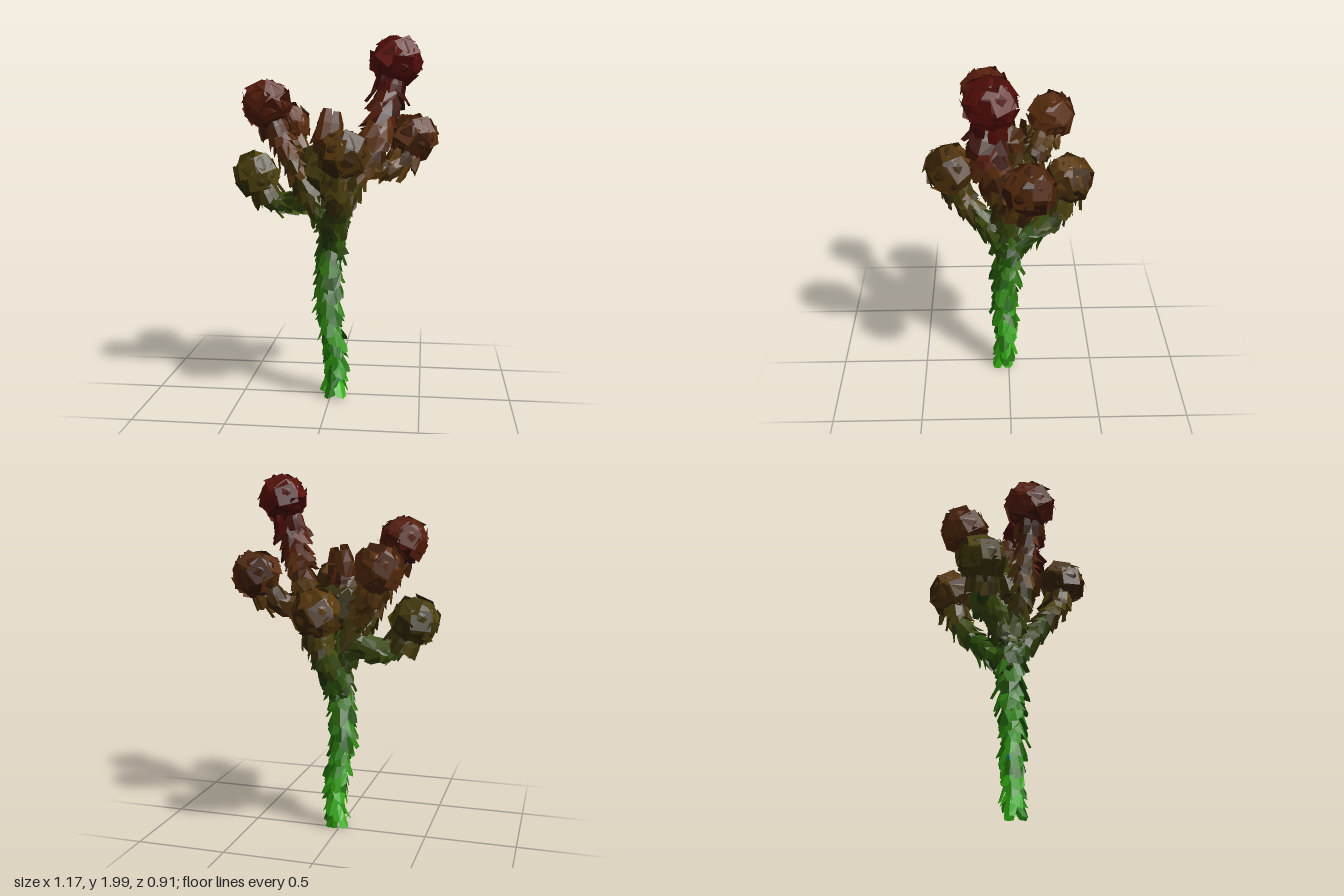
import * as THREE from 'three';
import { mergeGeometries } from 'three/addons/utils/BufferGeometryUtils.js';

const V = (x, y, z) => new THREE.Vector3(x, y, z);

// Small seeded random
let seed = 7;
const rand = (a = 0, b = 1) => {
  seed = (seed * 16807) % 2147483647;
  return a + (b - a) * (seed / 2147483647);
};

// Colour runs from bright green at the foot to dark red at the top
const stops = [
  [0, 0x30a80e], [0.5, 0x2c860e], [0.9, 0x30560c], [1.1, 0x3a420a],
  [1.3, 0x553a0d], [1.5, 0x562a0c], [1.7, 0x501409], [1.9, 0x600707],
];
function colourAt(y, tone) {
  let i = 0;
  while (i < stops.length - 2 && y > stops[i + 1][0]) i++;
  const [y0, c0] = stops[i], [y1, c1] = stops[i + 1];
  const t = THREE.MathUtils.clamp((y - y0) / (y1 - y0), 0, 1);
  return new THREE.Color(c0).lerp(new THREE.Color(c1), t).multiplyScalar(tone);
}

// Merges pieces that share a height band and tone into single meshes
function bandedGroup(name, pieces) {
  const group = new THREE.Group();
  group.name = name;
  const bands = new Map();
  for (const { geometry, y } of pieces) {
    const key = Math.round(y / 0.15) * 10 + Math.floor(rand(0, 3));
    if (!bands.has(key)) bands.set(key, []);
    bands.get(key).push(geometry);
  }
  for (const [key, list] of bands) {
    const color = colourAt(Math.floor(key / 10) * 0.15, [0.5, 0.8, 1.15][key % 10]);
    const mesh = new THREE.Mesh(mergeGeometries(list),
      new THREE.MeshStandardMaterial({ color, flatShading: true, side: THREE.DoubleSide }));
    mesh.name = name + 'Plates';
    group.add(mesh);
  }
  return group;
}

// Shingle: narrow at the top, flared and slightly pointed at the bottom
function scalePlate(center, out, up, radius, width, length, flare) {
  const g = new THREE.PlaneGeometry(1, 1, 2, 2);
  const p = g.attributes.position;
  const side = up.clone().cross(out).normalize();
  const skew = rand(-0.35, 0.35);
  for (let i = 0; i < p.count; i++) {
    const x = p.getX(i), y = p.getY(i);
    const taper = y > 0.1 ? 0.6 : y < -0.1 ? 0.8 : 1;
    const drop = y < -0.1 ? 0.12 - Math.abs(x) * 0.24 + x * skew : 0;
    const lift = radius * (1 - flare * (y + 0.5)) - Math.abs(x) * width * 0.4;
    const v = center.clone().addScaledVector(side, x * width * taper)
      .addScaledVector(up, (y - drop) * length).addScaledVector(out, lift);
    p.setXYZ(i, v.x, Math.max(v.y, 0), v.z);
  }
  return { geometry: g, y: center.y };
}

// Rings of shingles along a curve; radii are given at both ends
function scalyStem(name, points, r0, r1, opts = {}) {
  const { to = 1, count = 5, step = 0.055, length = 0.13, flare = 0.65 } = opts;
  const curve = new THREE.CatmullRomCurve3(points);
  const n = Math.ceil(curve.getLength() / step);
  const frames = curve.computeFrenetFrames(n, false);
  const pieces = [];
  for (let i = 0; i <= to * n; i++) {
    const c = curve.getPointAt(i / n);
    const r = THREE.MathUtils.lerp(r0, r1, i / n);
    for (let k = 0; k < count; k++) {
      const a = ((k + (i % 2) / 2) / count) * Math.PI * 2 + rand(-0.3, 0.3);
      const out = frames.normals[i].clone().multiplyScalar(Math.cos(a))
        .addScaledVector(frames.binormals[i], Math.sin(a));
      const up = frames.tangents[i].clone().addScaledVector(out, rand(-0.18, 0.05)).normalize();
      pieces.push(scalePlate(c, out, up, r * rand(0.75, 1.2), r * rand(0.9, 1.3),
        length * rand(0.7, 1.15), flare));
    }
  }
  const group = bandedGroup(name, pieces);
  // Inner stalk
  const core = new THREE.Mesh(new THREE.TubeGeometry(curve, 16, r0 * 0.5, 6),
    new THREE.MeshStandardMaterial({
      color: name === 'trunk' ? 0x1596a8 : colourAt(points[1].y, 0.5), flatShading: true }));
  core.name = name + 'Core';
  group.add(core);
  return group;
}

// Ball of large flat petals whose corners stand proud, with a ragged collar
function flowerHead(name, center, radius, axis) {
  const core = new THREE.IcosahedronGeometry(radius * 0.92, 1);
  core.translate(center.x, center.y, center.z);
  core.setIndex([...Array(core.attributes.position.count).keys()]);
  const pieces = [{ geometry: core, y: center.y }];
  const total = 18;
  for (let k = 0; k < total; k++) {
    const h = 1 - (2 * (k + 0.5)) / total, a = k * 2.39996;
    const w = Math.sqrt(1 - h * h);
    const q = new THREE.Quaternion()
      .setFromUnitVectors(V(0, 0, 1), V(w * Math.cos(a), h, w * Math.sin(a)))
      .multiply(new THREE.Quaternion().setFromAxisAngle(V(0, 0, 1), rand(0, 6.28)));
    const g = new THREE.PlaneGeometry(1, 1);
    const p = g.attributes.position;
    for (let i = 0; i < 4; i++) {
      const y = p.getY(i);
      const v = V(p.getX(i) * rand(0.75, 1), y * 0.9, 1).normalize()
        .multiplyScalar(radius * (1.02 + 0.08 * y)).applyQuaternion(q).add(center);
      p.setXYZ(i, v.x, v.y, v.z);
    }
    pieces.push({ geometry: g, y: center.y });
  }
  // Collar of short scales around the neck
  const side = axis.clone().cross(V(0.3, 0, 1)).normalize();
  for (let k = 0; k < 7; k++) {
    const out = side.clone().applyAxisAngle(axis, (k / 7) * Math.PI * 2 + rand(-0.2, 0.2));
    pieces.push(scalePlate(center.clone().addScaledVector(axis, -radius * 0.9), out, axis,
      radius * rand(0.6, 0.8), radius * 0.55, radius * rand(0.5, 0.8), 0.15));
  }
  return bandedGroup(name, pieces);
}

export function createModel() {
  const model = new THREE.Group();
  model.name = 'scalyFlowerPlant';

  // Trunk, slightly bent
  model.add(scalyStem('trunk', [V(0.025, 0.06, 0.025), V(0.03, 0.14, 0.02), V(0.005, 0.35, 0.02),
    V(-0.012, 0.55, 0.015), V(0, 0.9, 0), V(0.01, 1.15, 0)], 0.066, 0.1));

  // Each branch: path from the trunk, ending inside its flower
  const branches = [
    ['lowRight', 0.135, [V(-0.02, 0.97, -0.02), V(-0.13, 1.08, -0.08), V(-0.28, 1.07, -0.125),
      V(-0.39, 1.12, -0.135), V(-0.445, 1.235, -0.13)]],
    ['highRight', 0.138, [V(-0.03, 1.0, 0.02), V(-0.15, 1.22, 0.07), V(-0.23, 1.38, 0.09),
      V(-0.28, 1.5, 0.115), V(-0.33, 1.635, 0.12)]],
    ['backRight', 0.135, [V(-0.02, 0.95, -0.03), V(-0.1, 1.17, -0.1), V(-0.19, 1.32, -0.16),
      V(-0.25, 1.42, -0.215), V(-0.28, 1.51, -0.24)]],
    ['tallLeft', 0.138, [V(0.02, 0.95, 0.01), V(0.11, 1.18, 0.03), V(0.21, 1.37, 0.06),
      V(0.295, 1.6, 0.12), V(0.35, 1.86, 0.095)]],
    ['lowLeft', 0.137, [V(0.07, 1.15, 0.02), V(0.17, 1.28, 0.03), V(0.28, 1.28, 0),
      V(0.39, 1.33, -0.055), V(0.44, 1.45, -0.09)]],
    ['front', 0.136, [V(0.01, 0.85, 0.02), V(0.03, 1.0, 0.12), V(0.06, 1.13, 0.21),
      V(0.08, 1.24, 0.28), V(0.095, 1.385, 0.31)]],
    ['back', 0.136, [V(0, 0.83, -0.03), V(0.01, 0.94, -0.15), V(0.02, 1.03, -0.24),
      V(0.03, 1.14, -0.295), V(0.03, 1.28, -0.315)]],
  ];
  for (const [name, radius, path] of branches) {
    const thick = name === 'tallLeft' ? 0.11 : 0.08;
    const tip = path[path.length - 1];
    const axis = tip.clone().sub(path[path.length - 2]).normalize();
    model.add(scalyStem(name + 'Branch', path, 0.07, thick, { to: 0.88, length: 0.115 }));
    model.add(flowerHead(name + 'Flower', tip, radius, axis));
  }

  // Central bloom, rising into a tube of upright petals
  model.add(flowerHead('centralFlower', V(-0.025, 1.27, -0.008), 0.165, V(0, 1, 0)));
  model.add(scalyStem('centralTube', [V(-0.02, 1.34, 0), V(-0.02, 1.43, 0), V(-0.01, 1.53, -0.01)],
    0.1, 0.088, { length: 0.14, flare: 0.2 }));
  const tip = new THREE.Mesh(new THREE.ConeGeometry(0.085, 0.08, 6),
    new THREE.MeshStandardMaterial({ color: colourAt(1.3, 0.8), flatShading: true }));
  tip.name = 'centralTip';
  tip.position.set(-0.01, 1.55, -0.01);
  model.add(tip);
  return model;
}
